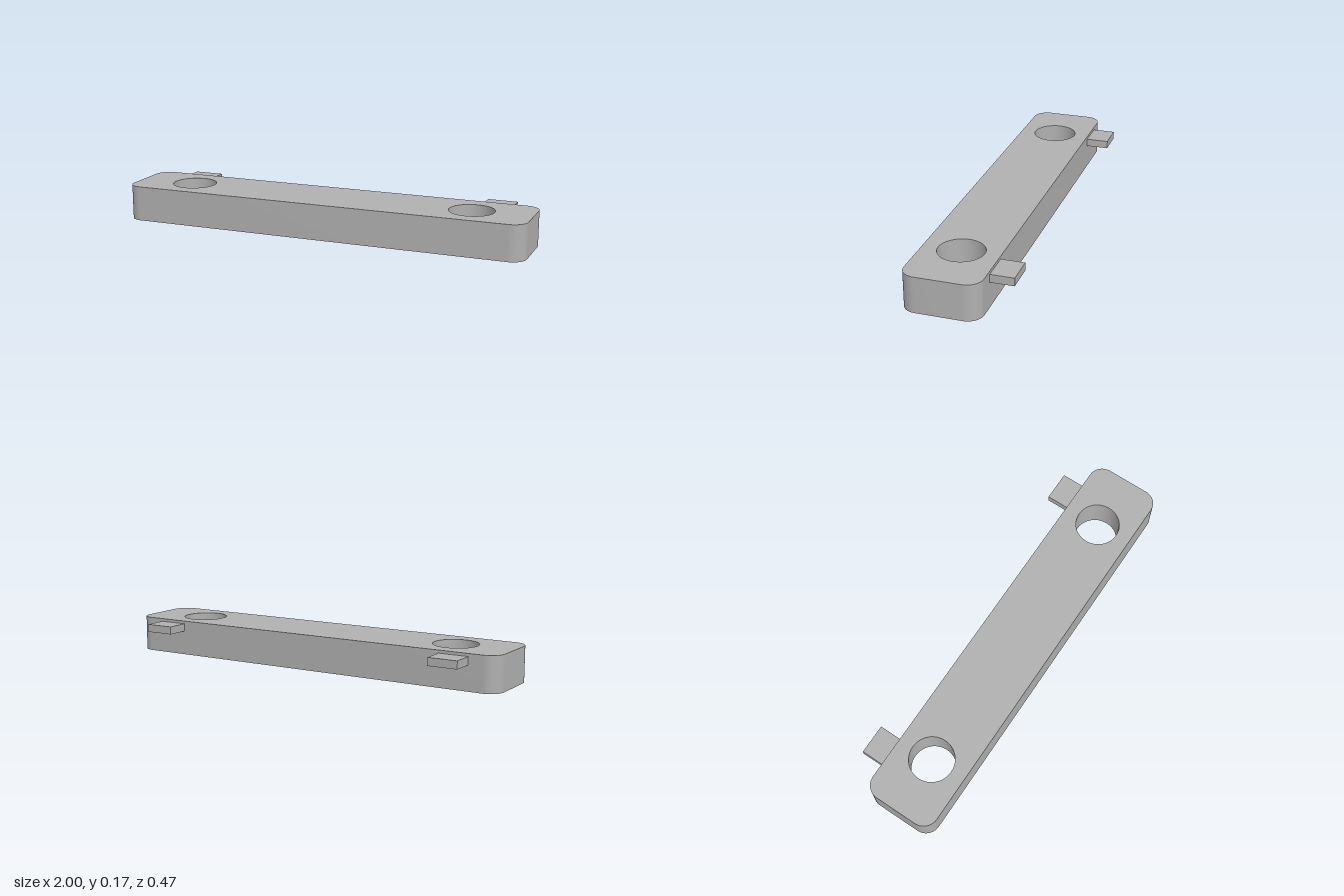
import * as THREE from 'three';
import { toCreasedNormals } from 'three/addons/utils/BufferGeometryUtils.js';

const HEIGHT = 0.171, FRONT = 0.233, BACK = -0.123, CORNER = 0.072;
const HOLE_X = 0.714, HOLE_RADIUS = 0.107;

// Rounded bar outline with two round through-holes
function barShape() {
  const w = 1, d = (FRONT - BACK) / 2, r = CORNER;
  const shape = new THREE.Shape();
  shape.absarc(w - r, d - r, r, 0, Math.PI / 2);
  shape.absarc(-w + r, d - r, r, Math.PI / 2, Math.PI);
  shape.absarc(-w + r, -d + r, r, Math.PI, Math.PI * 1.5);
  shape.absarc(w - r, -d + r, r, Math.PI * 1.5, Math.PI * 2);
  shape.closePath();
  for (const side of [-1, 1]) {
    const hole = new THREE.Path();
    hole.absarc(side * HOLE_X, 0, HOLE_RADIUS, 0, Math.PI * 2, true);
    shape.holes.push(hole);
  }
  return shape;
}

export function createModel() {
  const model = new THREE.Group();
  model.name = 'mountingBar';
  const grey = new THREE.MeshStandardMaterial({ color: 0xb0b0b0 });
  grey.name = 'grey';

  // Main bar, extruded upward
  let geometry = new THREE.ExtrudeGeometry(barShape(), {
    depth: HEIGHT, bevelEnabled: false, curveSegments: 24,
  });
  geometry.rotateX(-Math.PI / 2);
  geometry = toCreasedNormals(geometry, Math.PI / 6);
  const bar = new THREE.Mesh(geometry, grey);
  bar.name = 'bar';
  bar.position.z = (FRONT + BACK) / 2;
  model.add(bar);

  // Small locating tabs on the back
  for (const side of [-1, 1]) {
    const tab = new THREE.Mesh(new THREE.BoxGeometry(0.144, 0.038, 0.11), grey);
    tab.name = side > 0 ? 'leftTab' : 'rightTab';
    tab.position.set(side * 0.786, 0.138, -0.178);
    model.add(tab);
  }
  return model;
}
